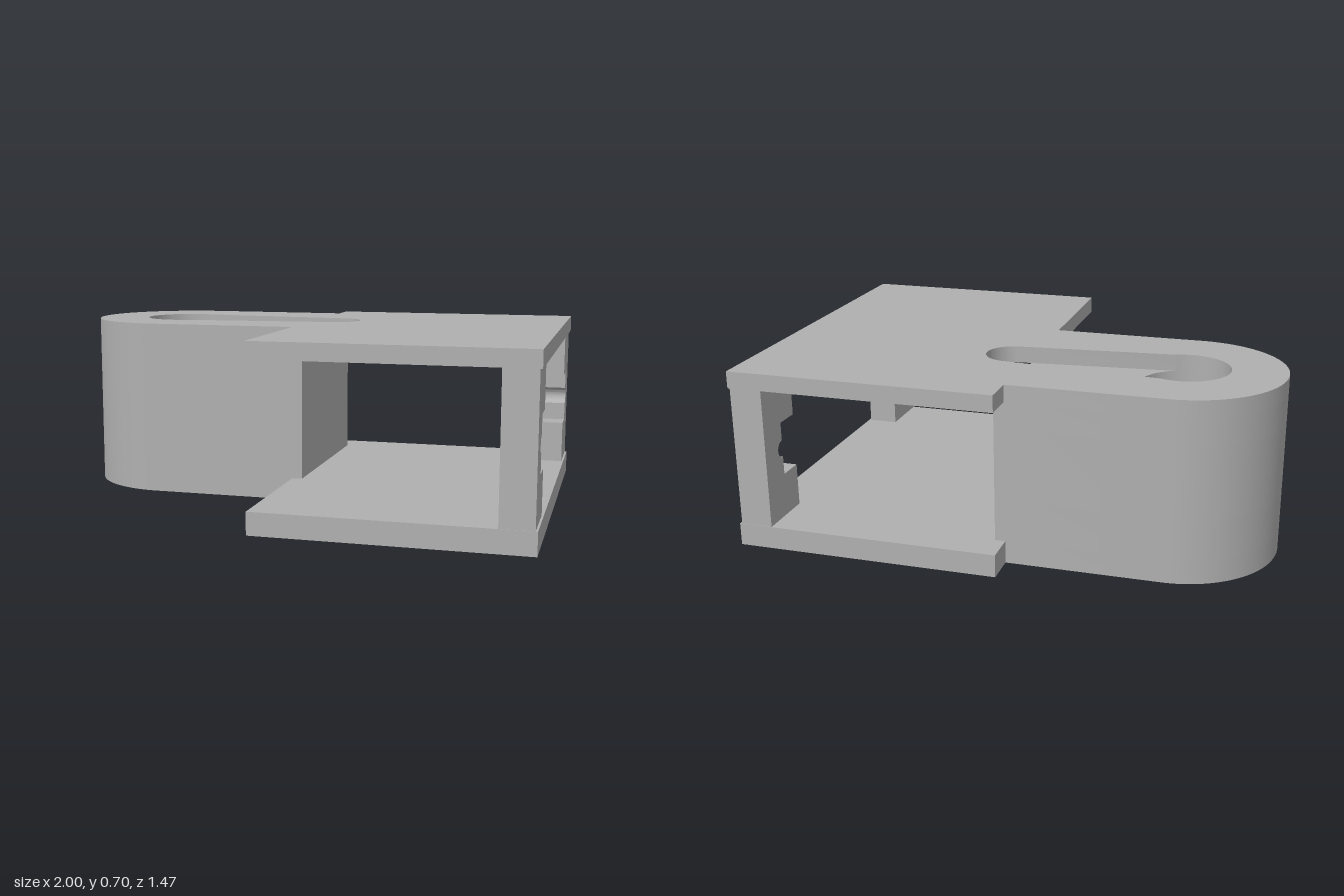
import * as THREE from 'three';
import { toCreasedNormals } from 'three/addons/utils/BufferGeometryUtils.js';

const PLATE_LOW = 0.088, PLATE_HIGH = 0.635, TOP = 0.7;
const CX = -0.62, CZ = -0.23, R = 0.38;   // centre and radius of the rounded arm end
const HALF = 0.735;                       // half depth of the housing

export function createModel() {
  const model = new THREE.Group();
  const grey = new THREE.MeshStandardMaterial({ color: 0xb0b0b0 });
  grey.name = 'grey';

  const add = (name, geometry) => {
    const mesh = new THREE.Mesh(toCreasedNormals(geometry, 0.5), grey);
    mesh.name = name;
    model.add(mesh);
  };

  // Plan shapes are drawn in (x, -z) and raised from y0 to y1
  const raise = (name, shape, holes, y0, y1) => {
    shape.holes.push(...holes);
    const g = new THREE.ExtrudeGeometry(shape, { depth: y1 - y0, bevelEnabled: false, curveSegments: 32 });
    g.rotateX(-Math.PI / 2).translate(0, y0, 0);
    add(name, g);
  };

  // Closes an outline with the round arm end
  const armEnd = (points) => {
    const s = new THREE.Shape();
    s.moveTo(CX, -CZ - R);
    points.forEach(([x, y]) => s.lineTo(x, y));
    s.lineTo(CX, -CZ + R);
    s.absarc(CX, -CZ, R, Math.PI / 2, Math.PI * 1.5, false);
    return s;
  };
  const armOutline = () => armEnd([[0.01, -CZ - R], [0.01, -CZ + R]]);
  const plateOutline = () => armEnd([
    [-0.03, -CZ - R], [-0.03, -HALF], [1, -HALF],
    [1, HALF], [-0.03, HALF], [-0.03, -CZ + R],
  ]);

  const circle = (r) => new THREE.Path().absarc(CX, -CZ, r, 0, Math.PI * 2, false);

  // Tapered keyhole recess in the top
  const keyhole = new THREE.Path();
  const a = 1.178, b = 1.45;
  keyhole.absarc(CX, -CZ, 0.17, a, Math.PI * 2 - a, false);
  keyhole.absarc(0.052, -CZ, 0.103, -b, b, false);
  keyhole.closePath();

  // Narrow groove in the floor of the recess
  const groove = new THREE.Path();
  groove.absarc(-0.37, -CZ, 0.031, Math.PI / 2, Math.PI * 1.5, false);
  groove.absarc(-0.029, -CZ, 0.031, -Math.PI / 2, Math.PI / 2, false);
  groove.closePath();

  // Plates and arm, stacked from the bottom up
  raise('bottomPlate', plateOutline(), [circle(0.073)], 0, PLATE_LOW);
  raise('armLower', armOutline(), [circle(0.073)], PLATE_LOW, 0.25);
  raise('armCore', armOutline(), [], 0.25, 0.53);
  raise('armUpper', armOutline(), [circle(0.17), groove], 0.53, PLATE_HIGH);
  raise('topPlate', plateOutline(), [keyhole], PLATE_HIGH, TOP);

  // End wall: two notched jambs either side of the opening
  for (const side of [1, -1]) {
    const s = new THREE.Shape();
    s.moveTo(0.5, PLATE_LOW);
    s.lineTo(HALF - 0.002, PLATE_LOW);
    s.lineTo(HALF - 0.002, PLATE_HIGH);
    s.lineTo(0.5, PLATE_HIGH);
    s.lineTo(0.5, 0.466);
    s.lineTo(0.602, 0.466);
    s.absarc(0.602, 0.361, 0.034, Math.PI / 2, -Math.PI / 2, true);
    s.lineTo(0.602, 0.256);
    s.lineTo(0.5, 0.256);
    s.closePath();
    const g = new THREE.ExtrudeGeometry(s, { depth: 0.125, bevelEnabled: false, curveSegments: 16 });
    g.rotateY(side * Math.PI / 2).translate(side > 0 ? 0.867 : 0.992, 0, 0);
    add(side > 0 ? 'backJamb' : 'frontJamb', g);
  }

  return model;
}
